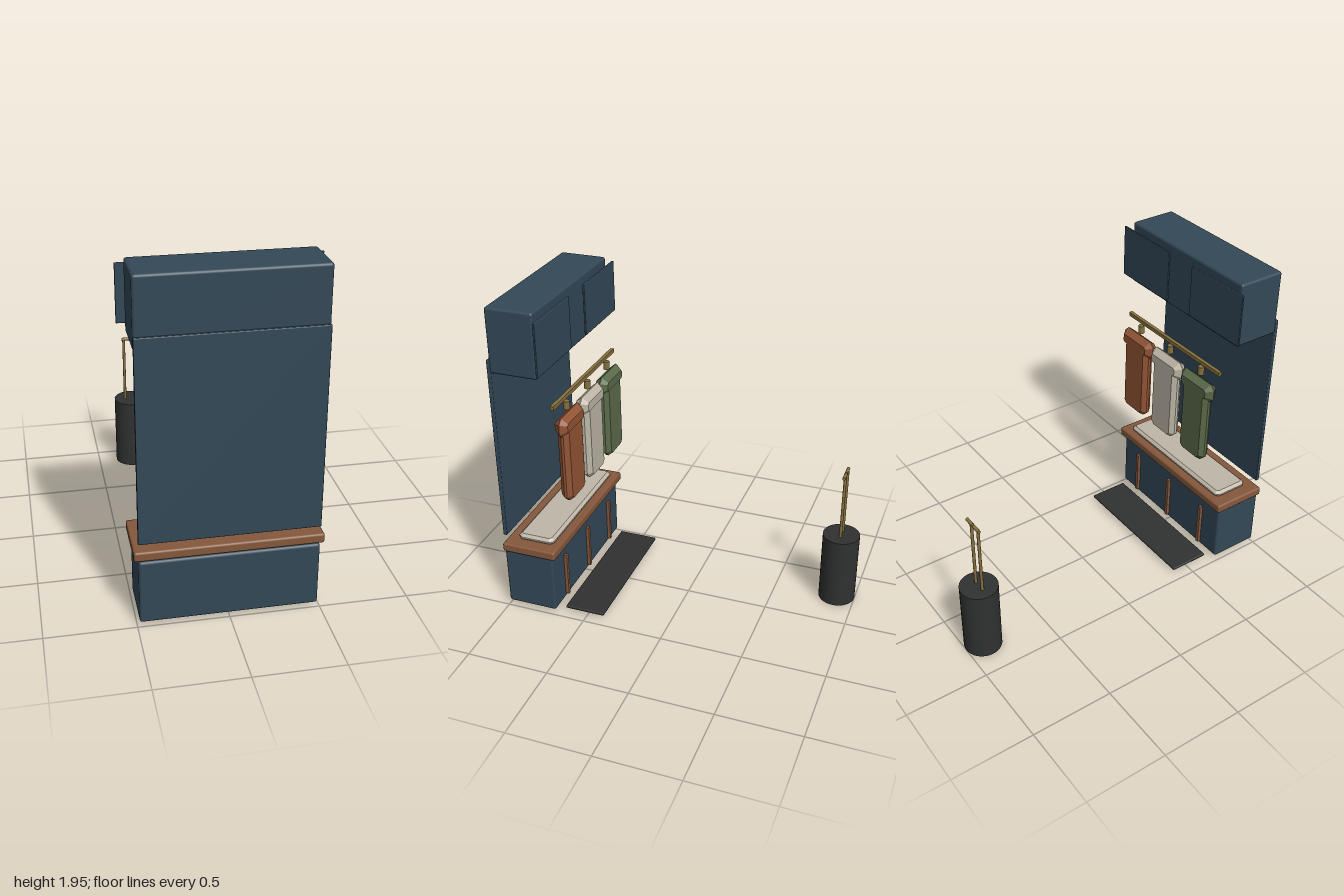
import * as THREE from 'three';
import { RoundedBoxGeometry } from 'three/addons/geometries/RoundedBoxGeometry.js';

const mat = (color, flatShading = false) => new THREE.MeshStandardMaterial({ color, flatShading });
const navy = mat(0x334857), wood = mat(0x85583b), brass = mat(0x86703f), dark = mat(0x303131);
const cream = mat(0xbfb7a8, true), green = mat(0x5b6b4a, true), rust = mat(0x935535, true);

export function createModel() {
  const group = new THREE.Group();

  const add = (name, geometry, material, x, y, z, parent = group) => {
    const mesh = new THREE.Mesh(geometry, material);
    mesh.name = name;
    mesh.position.set(x, y, z);
    parent.add(mesh);
    return mesh;
  };

  // Rounded box given by its x, y and z ranges
  const slab = (name, material, [x0, x1], [y0, y1], [z0, z1], r) =>
    add(name, new RoundedBoxGeometry(x1 - x0, y1 - y0, z1 - z0, 2, r), material,
      (x0 + x1) / 2, (y0 + y1) / 2, (z0 + z1) / 2);

  // Padded panel: cut corners and one sloping bevel on each side of a thin core
  const pad = (w, h, d, bevel, cut, core = 0.004) => {
    const a = w / 2 - bevel, b = h / 2 - bevel;
    const shape = new THREE.Shape([
      [a, -b + cut], [a, b - cut], [a - cut, b], [-a + cut, b],
      [-a, b - cut], [-a, -b + cut], [-a + cut, -b], [a - cut, -b],
    ].map(([x, y]) => new THREE.Vector2(x, y)));
    const g = new THREE.ExtrudeGeometry(shape, {
      depth: core, bevelEnabled: true, bevelSegments: 1,
      bevelSize: bevel, bevelThickness: (d - core) / 2,
    });
    return g.translate(0, 0, -core / 2);
  };

  // Bench with seat board, cushion and three upright pulls
  slab('benchBase', navy, [-0.487, 0.487], [0.025, 0.4], [0.687, 1], 0.015);
  slab('benchTop', wood, [-0.51, 0.51], [0.404, 0.46], [0.66, 1], 0.012);
  add('seatCushion', pad(0.885, 0.23, 0.042, 0.018, 0.012, 0.01).rotateX(Math.PI / 2), cream, 0, 0.479, 0.814);
  for (const x of [-0.325, 0, 0.325])
    add('benchPull', new THREE.BoxGeometry(0.022, 0.285, 0.022), wood, x, 0.19, 0.678);

  // Wall panel and overhead cabinet with two doors
  slab('wallPanel', navy, [-0.487, 0.487], [0.508, 1.645], [0.975, 1], 0.005);
  slab('overheadCabinet', navy, [-0.487, 0.487], [1.567, 1.953], [0.698, 0.985], 0.015);
  for (const s of [-1, 1])
    slab('cabinetDoor', navy, s < 0 ? [-0.53, -0.1] : [0.1, 0.53], [1.603, 1.917], [0.666, 0.678], 0.004);

  // Hanging rail, pegs and garments
  add('hangingRail', new THREE.BoxGeometry(0.85, 0.024, 0.022), brass, 0, 1.378, 0.651);
  [green, cream, rust].forEach((material, i) => {
    const x = (i - 1) * 0.284;
    add('peg', new THREE.CylinderGeometry(0.019, 0.019, 0.05, 16), brass, x, 1.341, 0.63);
    const garment = new THREE.Group();
    garment.name = 'hangingGarment';
    garment.position.set(x, 0, 0.617);
    group.add(garment);
    add('garmentBody', pad(0.215, 0.5, 0.072, 0.022, 0.02, 0.016), material, 0, 1.005, 0, garment);
    add('garmentShoulders', pad(0.28, 0.118, 0.08, 0.032, 0.01), material, 0, 1.246, 0, garment);
  });

  // Floor mat
  slab('floorMat', dark, [-0.44, 0.44], [0.02, 0.038], [0.392, 0.64], 0.006);

  // Stand holding two long-handled umbrellas
  add('umbrellaStand', new THREE.CylinderGeometry(0.112, 0.112, 0.455, 32), dark, -0.271, 0.2275, -0.888);
  for (const x of [-0.312, -0.24]) {
    add('umbrellaShaft', new THREE.CylinderGeometry(0.009, 0.009, 0.6, 12), brass, x, 0.585, -0.888);
    add('umbrellaHandle', new THREE.CylinderGeometry(0.01, 0.01, 0.06, 12).rotateZ(Math.PI / 2), brass, x + 0.017, 0.885, -0.888);
  }

  return group;
}
